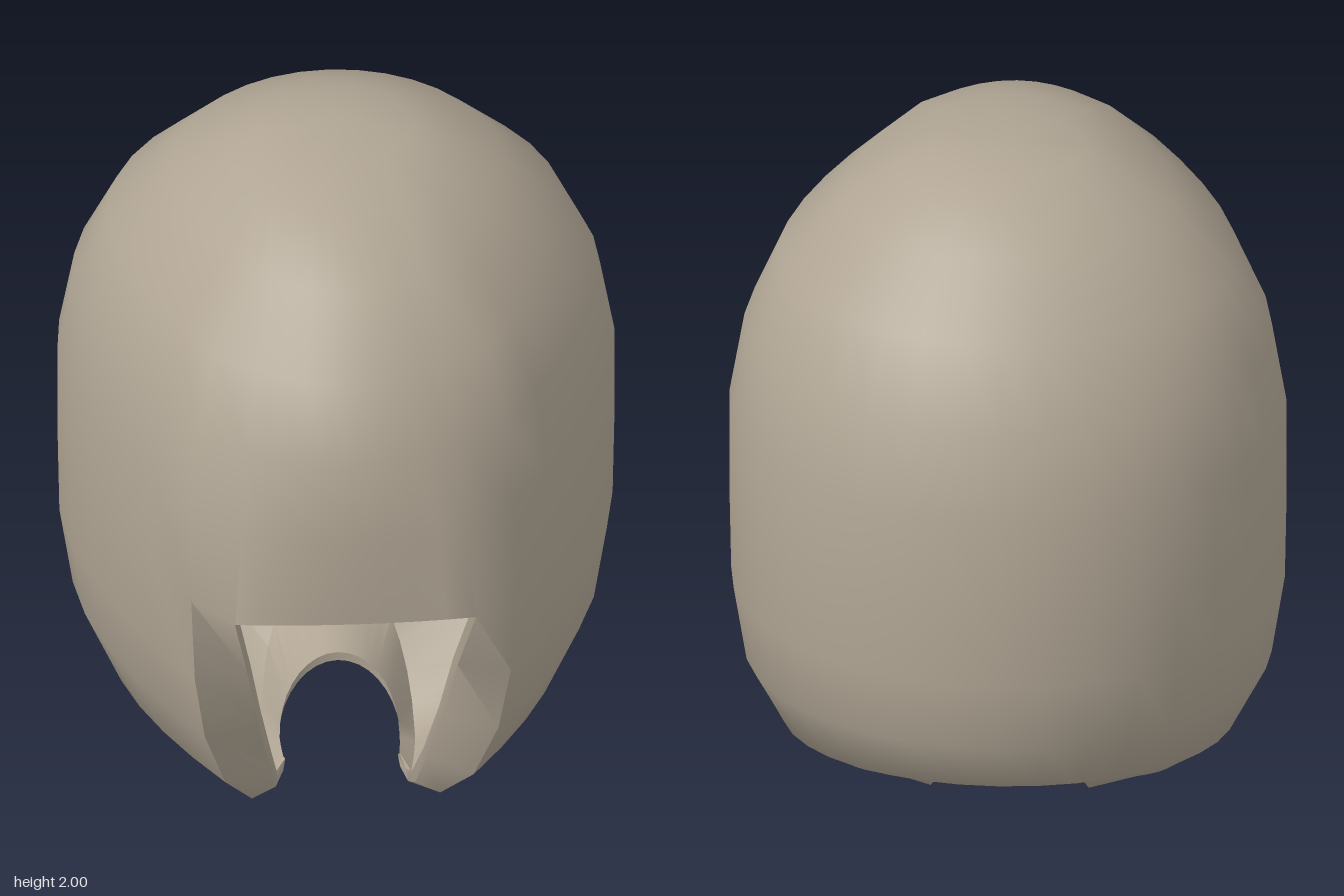
import * as THREE from 'three';
import { toCreasedNormals } from 'three/addons/utils/BufferGeometryUtils.js';

// Cross-sections from crown to lower rim:
// side y, back y, half width, z of widest point, back z,
// side edge x/z, brow edge x/z, front centre z
const ROWS = [
  [2.00, 2.00, 0, -0.06, -0.06, 0, -0.06, 0, -0.06, -0.06],
  [1.98, 1.98, 0.21, -0.04, -0.22, 0.13, 0.09, 0.10, 0.11, 0.15],
  [1.94, 1.94, 0.30, -0.04, -0.32, 0.19, 0.23, 0.15, 0.26, 0.32],
  [1.85, 1.86, 0.44, -0.05, -0.47, 0.25, 0.42, 0.20, 0.46, 0.55],
  [1.68, 1.69, 0.61, -0.07, -0.63, 0.36, 0.57, 0.25, 0.64, 0.73],
  [1.48, 1.48, 0.70, -0.09, -0.75, 0.41, 0.65, 0.28, 0.73, 0.82],
  [1.25, 1.25, 0.74, -0.10, -0.81, 0.43, 0.69, 0.30, 0.79, 0.845],
  [0.98, 0.98, 0.74, -0.10, -0.835, 0.43, 0.705, 0.32, 0.82, 0.835],
  [0.72, 0.77, 0.735, -0.10, -0.84, 0.42, 0.70, 0.28, 0.67, 0.7],
  [0.49, 0.58, 0.70, -0.09, -0.83, 0.39, 0.64, 0.245, 0.58, 0.6],
  [0.27, 0.43, 0.60, -0.06, -0.76, 0.33, 0.54, 0.21, 0.46, 0.5],
  [0.10, 0.355, 0.43, -0.02, -0.60, 0.25, 0.38, 0.185, 0.33, 0.4],
  [0.005, 0.31, 0.21, 0.02, -0.42, 0.19, 0.20, 0.175, 0.19, 0.2],
  [0.04, 0.25, 0.165, 0.07, -0.03, 0.16, 0.16, 0.155, 0.17, 0.18],
];
const BROW = 7;            // row where the face opening starts
const NF = 4, NS = 5, NB = 9; // columns on half the brow, the side and the back
const HALF = NF + 1 + NS + NB;
const RING = HALF * 2;

// Half a ring, from front centre round the left side to back centre
function halfRing([yS, yB, w, zm, zb, xe, ze, xi, zi, zf]) {
  const pts = [];
  for (let k = 0; k <= NF; k++) {
    const t = k / NF;
    pts.push([xi * t, yS, zf + (zi - zf) * t * t]);
  }
  for (let k = 0; k <= NS; k++) {
    const t = 1 - k / NS;
    pts.push([w - (w - xe) * Math.pow(t, 1.6), yS, zm + (ze - zm) * t]);
  }
  for (let k = 1; k <= NB; k++) {
    const a = (k / NB) * Math.PI / 2, s = Math.sin(a);
    pts.push([k === NB ? 0 : w * Math.cos(a), yS + (yB - yS) * s, zm + (zb - zm) * s]);
  }
  return pts;
}

function fullRing(row) {
  const half = halfRing(row);
  const mirrored = half.slice(1, HALF).reverse().map(([x, y, z]) => [-x, y, z]);
  return half.concat(mirrored);
}

function shellGeometry() {
  const position = [], index = [];
  const rings = ROWS.map(fullRing);
  // Outer skin, then inner skin shrunk towards the middle
  for (const s of [1, 0.965]) {
    for (const ring of rings) {
      for (const [x, y, z] of ring) position.push(x * s, 1 + (y - 1) * s, z * s);
    }
  }
  const inner = ROWS.length * RING;
  const id = (i, j) => i * RING + (j + RING) % RING;
  const filled = (i, j) => {
    const c = (j + RING) % RING;
    if (i < 0) return true;
    if (i >= ROWS.length - 1) return false;
    return i < BROW || (c >= NF && c < RING - NF);
  };
  for (let i = 0; i < ROWS.length - 1; i++) {
    for (let j = 0; j < RING; j++) {
      if (!filled(i, j)) continue;
      const a = id(i, j), b = id(i + 1, j), c = id(i + 1, j + 1), d = id(i, j + 1);
      index.push(a, b, c, inner + a, inner + c, inner + b);
      if (i > 0) index.push(a, c, d, inner + a, inner + d, inner + c);
      // Rim joining both skins round the opening
      const edges = [[a, b, i, j - 1], [b, c, i + 1, j], [c, d, i, j + 1], [d, a, i - 1, j]];
      for (const [p, q, ni, nj] of edges) {
        if (!filled(ni, nj)) index.push(q, p, inner + p, q, inner + p, inner + q);
      }
    }
  }
  const g = new THREE.BufferGeometry();
  g.setAttribute('position', new THREE.Float32BufferAttribute(position, 3));
  g.setIndex(index);
  return toCreasedNormals(g, 0.85);
}

export function createModel() {
  const group = new THREE.Group();
  group.name = 'hoodShell';
  const material = new THREE.MeshStandardMaterial({ color: 0xb0a594, side: THREE.DoubleSide });
  material.name = 'warm taupe';
  const shell = new THREE.Mesh(shellGeometry(), material);
  shell.name = 'shell';
  group.add(shell);
  return group;
}
